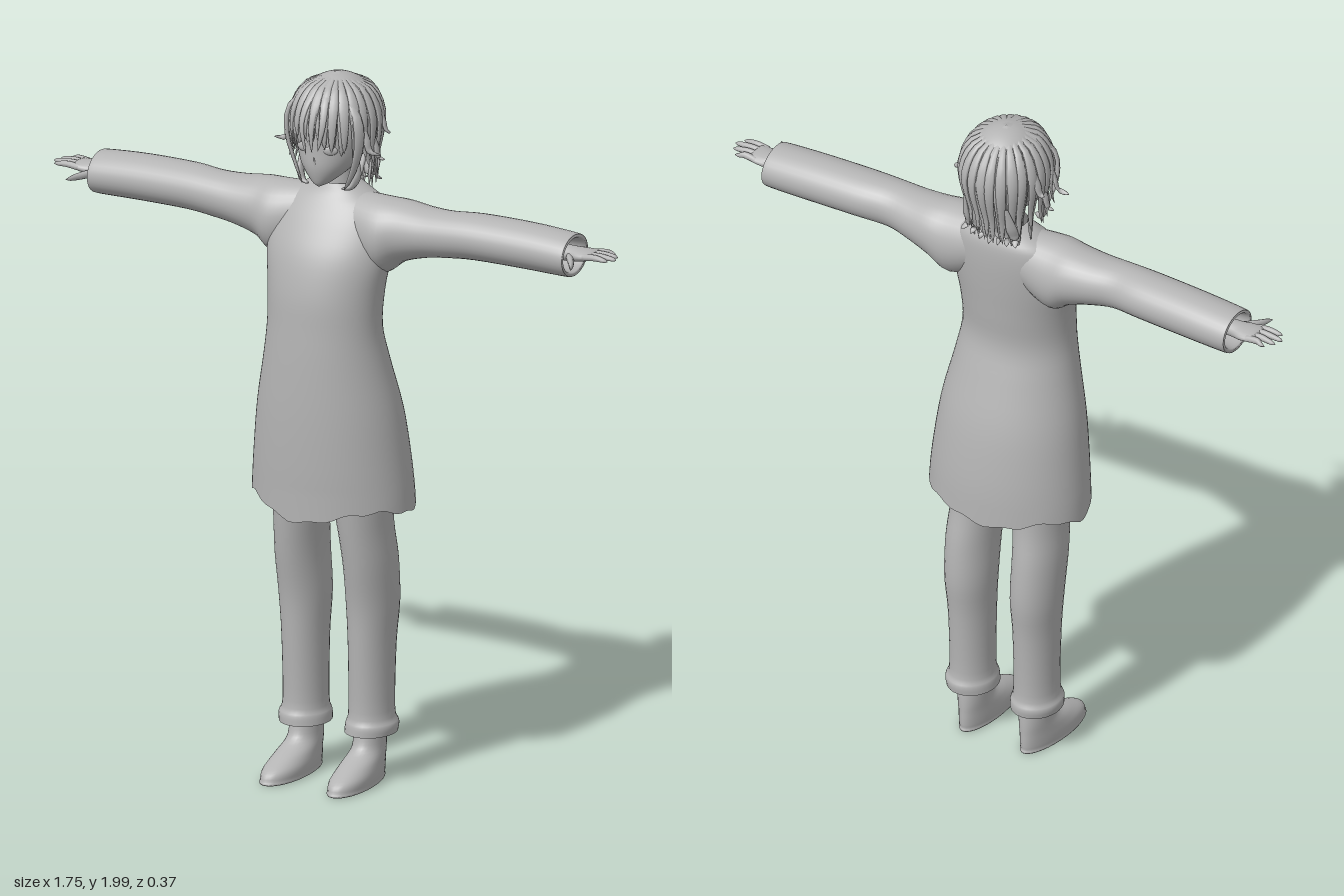
import * as THREE from 'three';
import { mergeGeometries } from 'three/addons/utils/BufferGeometryUtils.js';

const V = (x, y, z) => new THREE.Vector3(x, y, z);

// Joins closed rings of points into one smooth surface
function skin(rings) {
  const n = rings[0].length, pos = [], idx = [];
  rings.forEach(r => r.forEach(p => pos.push(p.x, p.y, p.z)));
  for (let i = 0; i < rings.length - 1; i++) {
    for (let j = 0; j < n; j++) {
      const a = i * n + j, b = i * n + (j + 1) % n;
      idx.push(a, a + n, b, b, a + n, b + n);
    }
  }
  const g = new THREE.BufferGeometry();
  g.setAttribute('position', new THREE.Float32BufferAttribute(pos, 3));
  g.setIndex(idx);
  g.computeVertexNormals();
  return g;
}

// Elliptical sections [x, y, z, a, b], smoothed, stacked along y or x
function loft(sections, { axis = 'y', n = 32, steps = 4, warp } = {}) {
  const curve = pts => new THREE.CatmullRomCurve3(pts, false, 'catmullrom', 0.5);
  const centre = curve(sections.map(s => V(s[0], s[1], s[2])));
  const size = curve(sections.map(s => V(s[3], s[4], 0)));
  const total = (sections.length - 1) * steps, rings = [];
  for (let i = 0; i <= total; i++) {
    const t = i / total, c = centre.getPoint(t), r = size.getPoint(t), ring = [];
    for (let j = 0; j < n; j++) {
      const th = j / n * Math.PI * 2, u = r.x * Math.cos(th), w = r.y * Math.sin(th);
      const p = axis === 'y' ? V(c.x + u, c.y, c.z + w) : V(c.x, c.y - u, c.z + w);
      if (warp) warp(p, th, t);
      ring.push(p);
    }
    rings.push(ring);
  }
  return skin(rings);
}

// Section given by its low and high limits
const yBand = (y, x0, x1, z0, z1) => [(x0 + x1) / 2, y, (z0 + z1) / 2, (x1 - x0) / 2, (z1 - z0) / 2];
const xBand = (x, y0, y1, z0, z1) => [x, (y0 + y1) / 2, (z0 + z1) / 2, (y1 - y0) / 2, (z1 - z0) / 2];

// Flattened lock of hair tapering to a point
function lock(points, width, thick, steps = 12) {
  const path = new THREE.CatmullRomCurve3(points), rings = [];
  for (let i = 0; i <= steps; i++) {
    const t = i / steps, p = path.getPoint(t), tan = path.getTangent(t);
    const out = p.clone().sub(V(0, 1.84, -0.02)).normalize();
    const side = tan.clone().cross(out).normalize(), nor = side.clone().cross(tan).normalize();
    const k = Math.min(1, 0.25 + t * 2) * Math.pow(1 - t, 0.45);
    const ring = [];
    for (let j = 0; j < 8; j++) {
      const th = j / 8 * Math.PI * 2;
      ring.push(p.clone().addScaledVector(side, Math.cos(th) * width * k).addScaledVector(nor, Math.sin(th) * thick * k));
    }
    rings.push(ring);
  }
  return skin(rings);
}

// Point on the head of hair: azimuth 0 is the front
function hairPoint(az, y, scale = 1) {
  const back = (1 - Math.cos(az)) / 2;
  const f = y > 1.86 ? Math.sqrt(Math.max(0, 1 - ((y - 1.86) / 0.135) ** 2))
    : 1 - (0.05 + 0.33 * back) * ((1.86 - y) / 0.19) ** 1.4;
  return V(Math.sin(az) * 0.12 * f * scale, y, -0.022 + Math.cos(az) * 0.133 * f * scale);
}

export function createModel() {
  const model = new THREE.Group();
  const grey = new THREE.MeshStandardMaterial({ color: 0xb4b4b4, side: THREE.DoubleSide });
  grey.name = 'plain grey';
  const add = (name, geometry) => {
    const m = new THREE.Mesh(geometry, grey);
    m.name = name;
    model.add(m);
    return m;
  };

  // Long coat with a ragged hem
  add('coat', loft([
    yBand(0.81, -0.235, 0.235, -0.18, 0.172),
    yBand(0.92, -0.225, 0.225, -0.172, 0.177),
    yBand(1.06, -0.208, 0.208, -0.15, 0.179),
    yBand(1.20, -0.18, 0.18, -0.11, 0.176),
    yBand(1.30, -0.165, 0.165, -0.083, 0.171),
    yBand(1.40, -0.168, 0.168, -0.09, 0.164),
    yBand(1.50, -0.182, 0.182, -0.1, 0.14),
    yBand(1.58, -0.18, 0.18, -0.105, 0.1),
    yBand(1.635, -0.155, 0.155, -0.103, 0.065),
    yBand(1.665, -0.105, 0.105, -0.092, 0.043),
    yBand(1.69, -0.06, 0.06, -0.08, 0.03),
  ], {
    n: 64, warp(p, th, t) {
      if (t > 0) return;
      const s = Math.sin(th), c = Math.abs(Math.cos(th));
      p.y -= 0.05 * Math.max(0, s) ** 6 + 0.03 * Math.max(0, -s) ** 2 + 0.03 * c ** 10;
      p.y += 0.009 * Math.sin(th * 9 + 1) * Math.cos(th * 4);
    },
  }));

  // Neck and head
  add('neck', new THREE.CylinderGeometry(0.042, 0.05, 0.16, 24).translate(0, 1.69, -0.025));
  add('head', loft([
    [0, 1.694, 0.075, 0.004, 0.006], [0, 1.708, 0.055, 0.03, 0.038], [0, 1.75, 0.02, 0.073, 0.084],
    [0, 1.80, 0, 0.096, 0.104], [0, 1.86, -0.01, 0.105, 0.113], [0, 1.93, -0.02, 0.09, 0.1],
    [0, 1.975, -0.02, 0.035, 0.04],
  ]));
  add('nose', new THREE.ConeGeometry(0.009, 0.028, 8).rotateX(0.35).translate(0, 1.772, 0.102));
  add('mouth', new THREE.SphereGeometry(0.012, 12, 6).scale(1, 0.2, 0.3).translate(0, 1.735, 0.092));

  // Hair cap open towards the face
  add('hairCap', new THREE.SphereGeometry(1, 32, 16, 0, Math.PI * 2, 0, Math.PI * 0.56)
    .rotateX(-0.55).scale(0.117, 0.131, 0.13).translate(0, 1.86, -0.022));

  // Locks of hair fanning out from the crown
  const locks = [];
  const layers = [[26, 0, 1.03, 0.019, 0], [22, 0.14, 0.98, 0.021, -0.02]];
  layers.forEach(([count, turn, scale, width, drop]) => {
    for (let i = 0; i < count; i++) {
      const az = i / count * Math.PI * 2 + turn;
      const back = (1 - Math.cos(az)) / 2, vary = Math.sin(i * 5.3) * 0.016;
      const end = 1.825 - 0.145 * Math.min(1, back * 1.35) + vary + drop * (back > 0.2 ? 1 : 0);
      const points = [V(0, 1.992, -0.025)];
      for (let k = 1; k <= 6; k++) {
        points.push(hairPoint(az + Math.sin(i * 2.1) * 0.05 * k / 6, THREE.MathUtils.lerp(1.985, end, (k / 6) ** 1.25), scale));
      }
      points[6].addScaledVector(V(Math.sin(az), 0, Math.cos(az)), back > 0.3 ? 0.016 : -0.004);
      locks.push(lock(points, width, 0.008));
    }
  });

  // Long centre fringe
  [-0.022, 0, 0.024].forEach((x, i) => locks.push(lock(
    [V(0, 1.985, 0.01), V(x, 1.945, 0.085), V(x * 1.4, 1.88, 0.118), V(x * 0.8, 1.79 + i * 0.008, 0.117)], 0.015, 0.006)));

  for (const s of [-1, 1]) {
    // Side locks, outward flicks and curls beside the chin
    locks.push(lock([V(s * 0.04, 1.97, 0.03), V(s * 0.105, 1.9, 0.055), V(s * 0.112, 1.82, 0.055), V(s * 0.09, 1.74, 0.05), V(s * 0.065, 1.685, 0.055)], 0.02, 0.009));
    locks.push(lock([V(s * 0.09, 1.76, 0.02), V(s * 0.088, 1.72, 0.025), V(s * 0.075, 1.69, 0.035), V(s * 0.05, 1.685, 0.045)], 0.02, 0.012));
    [[0.168, 1.795, 0.03], [0.15, 1.765, -0.02], [0.145, 1.83, -0.06]].forEach(([x, y, z]) => locks.push(lock(
      [V(s * 0.1, y + 0.1, z), V(s * 0.122, y + 0.035, z), V(s * 0.132, y + 0.005, z), V(s * x, y, z)], 0.015, 0.008)));
  }
  // Nape tips
  for (let i = -3; i <= 3; i++) {
    locks.push(lock([V(i * 0.022, 1.8, -0.13), V(i * 0.024, 1.73, -0.112), V(i * 0.025, 1.69, -0.1),
      V(i * 0.029, 1.655 + Math.abs(i) * 0.006, -0.115)], 0.02, 0.009));
  }
  add('hair', mergeGeometries(locks));

  for (const s of [-1, 1]) {
    const side = s > 0 ? 'left' : 'right';
    const mirror = sections => sections.map(q => [q[0] * s, ...q.slice(1)]);

    add(side + 'Eye', new THREE.SphereGeometry(1, 16, 10).scale(0.02, 0.013, 0.006)
      .rotateY(s * 0.4).translate(s * 0.044, 1.805, 0.091));

    // Sleeve, turned in at the cuff
    add(side + 'Sleeve', loft(mirror([
      xBand(0.07, 1.50, 1.668, -0.09, 0.06),
      xBand(0.16, 1.455, 1.667, -0.1, 0.085),
      xBand(0.22, 1.492, 1.663, -0.1, 0.072),
      xBand(0.29, 1.515, 1.656, -0.088, 0.066),
      xBand(0.36, 1.527, 1.656, -0.077, 0.062),
      xBand(0.45, 1.533, 1.66, -0.09, 0.058),
      xBand(0.60, 1.532, 1.658, -0.096, 0.053),
      xBand(0.725, 1.53, 1.65, -0.096, 0.05),
      xBand(0.738, 1.534, 1.645, -0.092, 0.046),
      xBand(0.728, 1.545, 1.635, -0.08, 0.036),
      xBand(0.62, 1.56, 1.63, -0.065, 0.025),
    ]), { axis: 'x' }));

    // Hand with four fingers and a thumb
    const hand = [loft(mirror([
      [0.60, 1.595, -0.02, 0.024, 0.028], [0.72, 1.595, -0.02, 0.022, 0.027], [0.765, 1.597, -0.02, 0.018, 0.038],
      [0.80, 1.601, -0.02, 0.012, 0.039], [0.812, 1.602, -0.02, 0.001, 0.03],
    ]), { axis: 'x', n: 20 })];
    [[-0.05, 0.848], [-0.03, 0.868], [-0.009, 0.876], [0.011, 0.862]].forEach(([z, x]) => hand.push(loft(mirror([
      [0.785, 1.6, z, 0.009, 0.0095], [0.82, 1.604, z, 0.009, 0.0095], [x - 0.012, 1.602, z * 1.12, 0.006, 0.007],
      [x, 1.6, z * 1.14, 0.001, 0.001],
    ]), { axis: 'x', n: 10 })));
    hand.push(loft(mirror([
      [0.735, 1.592, 0, 0.012, 0.016], [0.762, 1.588, 0.035, 0.011, 0.015],
      [0.778, 1.586, 0.062, 0.008, 0.011], [0.787, 1.585, 0.08, 0.001, 0.002],
    ]), { axis: 'x', n: 10 }));
    add(side + 'Hand', mergeGeometries(hand));

    // Trouser leg with a flared cuff
    add(side + 'TrouserLeg', loft(mirror([
      yBand(0.135, 0.032, 0.172, -0.11, 0.052),
      yBand(0.16, 0.034, 0.174, -0.112, 0.05),
      yBand(0.20, 0.042, 0.163, -0.102, 0.04),
      yBand(0.38, 0.042, 0.165, -0.11, 0.047),
      yBand(0.50, 0.037, 0.173, -0.122, 0.055),
      yBand(0.62, 0.037, 0.175, -0.115, 0.076),
      yBand(0.72, 0.03, 0.17, -0.1, 0.092),
      yBand(0.82, 0.015, 0.17, -0.095, 0.105),
      yBand(0.96, -0.01, 0.165, -0.09, 0.12),
    ])));

    // Shoe, wider at the toe
    add(side + 'Shoe', loft([
      [0, 0, 0.045, 0.001, 0.001], [0, 0, 0.048, 0.045, 0.128], [0, 0.012, 0.048, 0.049, 0.136],
      [0, 0.034, 0.04, 0.05, 0.13], [0, 0.06, 0.012, 0.047, 0.102], [0, 0.09, -0.022, 0.043, 0.068],
      [0, 0.13, -0.03, 0.042, 0.058], [0, 0.19, -0.03, 0.04, 0.052],
    ], {
      warp(p) {
        p.x *= 1 + p.z * 0.7;
        p.x += s * (0.1 + p.z * 0.03);
        p.y = Math.max(0, p.y);
      },
    }));
  }
  return model;
}
